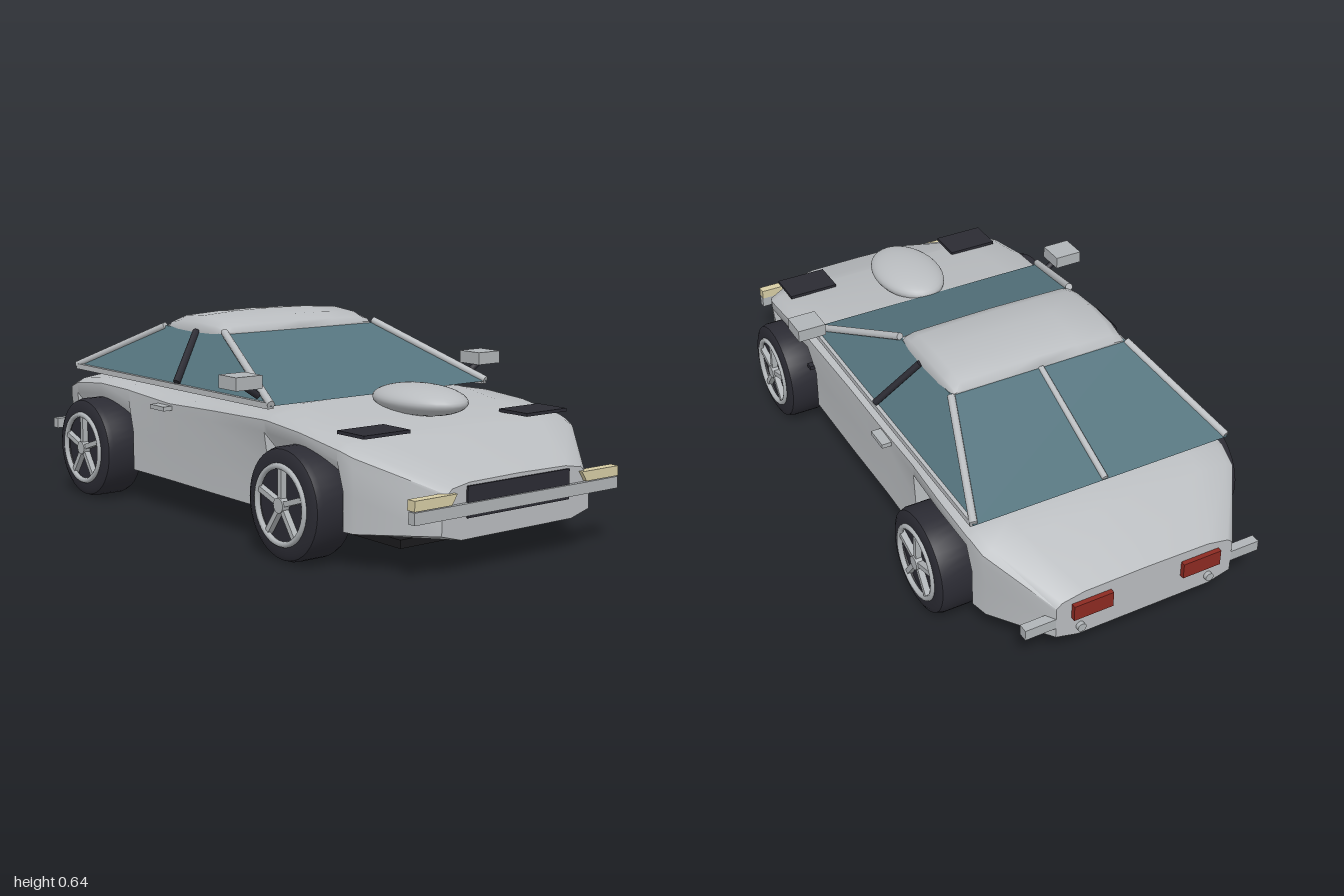
import * as THREE from 'three';
import { toCreasedNormals } from 'three/addons/utils/BufferGeometryUtils.js';

const material = (name, color) => Object.assign(new THREE.MeshStandardMaterial({ color }), { name });

export function createModel() {
  const paint = material('silver paint', 0xb9bcbf);
  const trim = material('grey trim', 0xb0b4b7);
  const glass = material('tinted glass', 0x55747e);
  const rubber = material('dark rubber', 0x2b2b33);
  const under = material('underbody black', 0x1a1a1c);
  const red = material('tail lamp red', 0x8c2a22);
  const cream = material('front lamp cream', 0xd6cca4);

  const car = new THREE.Group();
  car.name = 'car';

  const add = (name, geometry, mat, x = 0, y = 0, z = 0, parent = car) => {
    const mesh = new THREE.Mesh(geometry, mat);
    mesh.name = name;
    mesh.position.set(x, y, z);
    parent.add(mesh);
    return mesh;
  };
  const box = (name, mat, w, h, d, x, y, z) => add(name, new THREE.BoxGeometry(w, h, d), mat, x, y, z);

  // Round bar between two points
  const bar = (name, mat, from, to, radius, sides = 10) => {
    const a = new THREE.Vector3(...from), b = new THREE.Vector3(...to);
    const mesh = add(name, new THREE.CylinderGeometry(radius, radius, a.distanceTo(b), sides), mat);
    mesh.position.copy(a).lerp(b, 0.5);
    mesh.quaternion.setFromUnitVectors(new THREE.Vector3(0, 1, 0), b.sub(a).normalize());
    return mesh;
  };

  // Mirrored half sections, listed front to back, joined into a closed shell
  const loft = (sections, crease) => {
    const rings = sections.map(({ z, half }) => [
      ...half.map(([x, y]) => [x, y, z]),
      ...half.slice(1, -1).reverse().map(([x, y]) => [-x, y, z]),
    ]);
    const n = rings[0].length;
    const positions = [], index = [];
    rings.forEach((ring) => ring.forEach((p) => positions.push(...p)));
    for (let i = 0; i < rings.length - 1; i++) {
      for (let j = 0; j < n; j++) {
        const a = i * n + j, b = i * n + (j + 1) % n;
        index.push(a, a + n, b, b, a + n, b + n);
      }
    }
    [0, rings.length - 1].forEach((i) => {
      const half = sections[i].half;
      const centre = positions.length / 3;
      positions.push(0, (half[0][1] + half[half.length - 1][1]) / 2, sections[i].z);
      for (let j = 0; j < n; j++) {
        const a = i * n + j, b = i * n + (j + 1) % n;
        index.push(centre, i ? b : a, i ? a : b);
      }
    });
    const geometry = new THREE.BufferGeometry();
    geometry.setAttribute('position', new THREE.Float32BufferAttribute(positions, 3));
    geometry.setIndex(index);
    return toCreasedNormals(geometry, crease);
  };

  // Body: z, half width, lower half width, bottom, shoulder, top
  const bodySections = [
    [0.985, 0.27, 0.29, 0.10, 0.245, 0.262],
    [0.78, 0.435, 0.43, 0.088, 0.335, 0.35],
    [0.74, 0.448, 0.435, 0.088, 0.35, 0.362],
    [0.73, 0.45, 0.37, 0.088, 0.352, 0.365],
    [0.57, 0.457, 0.37, 0.088, 0.378, 0.39],
    [0.41, 0.452, 0.37, 0.088, 0.39, 0.415],
    [0.39, 0.45, 0.435, 0.088, 0.39, 0.417],
    [0.1, 0.44, 0.435, 0.088, 0.38, 0.40],
    [-0.15, 0.435, 0.432, 0.088, 0.37, 0.39],
    [-0.37, 0.44, 0.435, 0.088, 0.385, 0.40],
    [-0.385, 0.442, 0.37, 0.088, 0.387, 0.40],
    [-0.55, 0.45, 0.37, 0.088, 0.392, 0.405],
    [-0.715, 0.443, 0.37, 0.088, 0.375, 0.395],
    [-0.73, 0.44, 0.432, 0.088, 0.372, 0.392],
    [-0.79, 0.43, 0.42, 0.09, 0.352, 0.37],
    [-0.985, 0.30, 0.30, 0.11, 0.25, 0.27],
  ].map(([z, w, lw, yb, ys, yt]) => ({
    z,
    half: [
      [0, yb], [lw * 0.75, yb], [lw, yb + 0.02], [lw, yb + (ys - yb) * 0.5],
      [w, yb + (ys - yb) * 0.84], [w, ys - 0.012], [w * 0.94, ys + 0.003], [w * 0.7, yt - 0.003], [0, yt],
    ],
  }));
  add('body', loft(bodySections, 0.75), paint);
  box('underbodyPlate', under, 0.64, 0.025, 1.68, 0, 0.077, 0.01);

  // Glasshouse: a box tapered towards the roof
  const cabin = new THREE.BoxGeometry(2, 1, 2).toNonIndexed();
  const p = cabin.attributes.position;
  for (let i = 0; i < p.count; i++) {
    const top = p.getY(i) > 0, front = p.getZ(i) > 0;
    p.setXYZ(i, p.getX(i) * (top ? 0.305 : 0.435), top ? 0.582 : 0.418,
      front ? (top ? -0.02 : 0.4) : (top ? -0.37 : -0.745));
  }
  cabin.computeVertexNormals();
  add('glasshouse', cabin, glass);

  // Domed roof
  const roofSections = [
    [-0.02, 0.296, 0.59], [-0.035, 0.303, 0.608], [-0.08, 0.308, 0.626], [-0.19, 0.31, 0.638],
    [-0.29, 0.308, 0.63], [-0.345, 0.303, 0.61], [-0.365, 0.296, 0.59],
  ].map(([z, w, y]) => ({
    z, half: [[0, 0.572], [w, 0.572], [w, 0.584], [w * 0.97, 0.584 + (y - 0.584) * 0.45],
      [w * 0.88, y - (y - 0.584) * 0.2], [w * 0.45, y - 0.002], [0, y]],
  }));
  add('roof', loft(roofSections, 0.9), paint);
  bar('rearWindowSpine', paint, [0, 0.582, -0.365], [0, 0.424, -0.745], 0.01);

  // Hood bulge
  const bulge = add('hoodBulge', new THREE.SphereGeometry(1, 32, 20), paint, 0, 0.42, 0.565);
  bulge.scale.set(0.115, 0.047, 0.175);

  // Nose and tail fittings
  box('grille', rubber, 0.4, 0.09, 0.03, 0, 0.205, 0.976);
  box('frontBumper', trim, 0.8, 0.035, 0.025, 0, 0.186, 0.985);
  box('rearBumper', trim, 0.8, 0.035, 0.03, 0, 0.182, -0.97);

  // Wheel facing +x
  const makeWheel = () => {
    const wheel = new THREE.Group();
    wheel.name = 'wheel';
    const profile = [[0, -0.07], [0.145, -0.07], [0.16, -0.062], [0.166, -0.045], [0.166, 0.045],
      [0.16, 0.062], [0.145, 0.07], [0.12, 0.07], [0.115, 0.055], [0, 0.055]]
      .map(([r, y]) => new THREE.Vector2(r, y));
    const tyre = add('tyre', toCreasedNormals(new THREE.LatheGeometry(profile, 40), 0.6), rubber, 0, 0, 0, wheel);
    tyre.rotation.z = -Math.PI / 2;
    const rim = add('rim', new THREE.TorusGeometry(0.112, 0.009, 8, 40), trim, 0.07, 0, 0, wheel);
    rim.rotation.y = Math.PI / 2;
    const hub = add('hub', new THREE.CylinderGeometry(0.022, 0.022, 0.03, 20), trim, 0.064, 0, 0, wheel);
    hub.rotation.z = Math.PI / 2;
    for (let i = 0; i < 5; i++) {
      const a = (i / 5) * Math.PI * 2;
      const spoke = add('spoke', new THREE.BoxGeometry(0.02, 0.11, 0.016), trim,
        0.064, Math.cos(a) * 0.06, Math.sin(a) * 0.06, wheel);
      spoke.rotation.x = a;
    }
    return wheel;
  };

  // Slanted front lamp outline
  const lampShape = new THREE.Shape([[0.245, 0.236], [0.265, 0.206], [0.4, 0.206], [0.4, 0.236]]
    .map(([x, y]) => new THREE.Vector2(x, y)));

  for (const s of [1, -1]) {
    const side = s > 0 ? 'left' : 'right';
    // Wheels
    for (const z of [0.57, -0.55]) {
      const wheel = makeWheel();
      wheel.name = side + (z > 0 ? 'FrontWheel' : 'RearWheel');
      wheel.position.set(s * 0.455, 0.166, z);
      if (s < 0) wheel.rotation.y = Math.PI;
      car.add(wheel);
    }
    // Window frame
    bar(side + 'FrontPillar', paint, [s * 0.432, 0.422, 0.4], [s * 0.306, 0.59, -0.02], 0.012);
    bar(side + 'RearPillar', paint, [s * 0.306, 0.582, -0.365], [s * 0.432, 0.422, -0.74], 0.012);
    bar(side + 'DoorPillar', rubber, [s * 0.312, 0.582, -0.17], [s * 0.436, 0.432, -0.1], 0.012, 6);
    box(side + 'WindowSill', paint, 0.02, 0.018, 1.13, s * 0.43, 0.418, -0.17);
    // Mirror
    box(side + 'Mirror', trim, 0.094, 0.04, 0.09, s * 0.483, 0.486, 0.318);
    bar(side + 'MirrorStalk', rubber, [s * 0.425, 0.44, 0.325], [s * 0.468, 0.468, 0.325], 0.011, 8);
    // Door handle and side marker
    box(side + 'DoorHandle', trim, 0.035, 0.014, 0.08, s * 0.45, 0.345, -0.17);
    box(side + 'SideMarker', rubber, 0.02, 0.014, 0.025, s * 0.445, 0.265, 0.402);
    // Headlight covers
    box(side + 'HeadlightCover', rubber, 0.17, 0.01, 0.118, s * 0.315, 0.376, 0.727);
    // Front lamp
    const lamp = add(side + 'FrontLamp', new THREE.ExtrudeGeometry(lampShape, { depth: 0.03, bevelEnabled: false }), cream);
    lamp.position.z = s > 0 ? 0.968 : 0.998;
    if (s < 0) lamp.rotation.y = Math.PI;
    // Tail lamp and exhaust
    box(side + 'TailLamp', red, 0.13, 0.052, 0.025, s * 0.185, 0.21, -0.988);
    const pipe = add(side + 'Exhaust', new THREE.CylinderGeometry(0.014, 0.014, 0.04, 16), trim, s * 0.22, 0.142, -0.978);
    pipe.rotation.x = Math.PI / 2;
  }
  return car;
}
